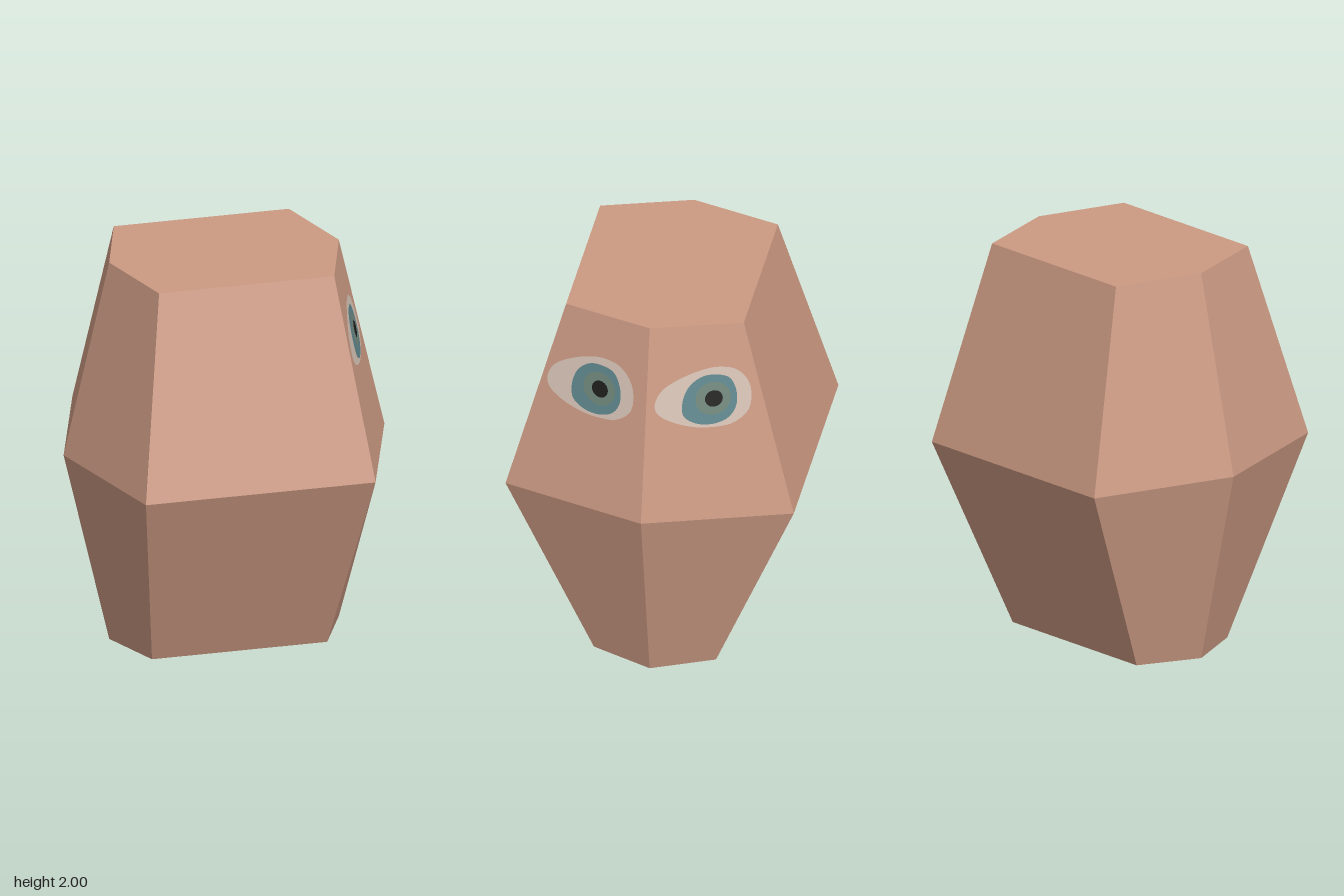
import * as THREE from 'three';

const mat = (name, color) => {
  const m = new THREE.MeshStandardMaterial({ color });
  m.name = name;
  return m;
};

// Hexagonal cross-section: side points on the x axis, corners at front and back
const hexRing = (y, side, cx, cz) => [
  [side, 0], [cx, cz], [-cx, cz], [-side, 0], [-cx, -cz], [cx, -cz],
].map(([x, z]) => new THREE.Vector3(x, y, z));

const TOP = { side: 0.582, cx: 0.444, cz: 0.444 };
const MID = { side: 0.813, cx: 0.582, cz: 0.72 };
const LOW = { side: 0.582, cx: 0.444, cz: 0.305 };

function headGeometry() {
  const rings = [[0, LOW], [1, MID], [2, TOP]].map(([y, r]) => hexRing(y, r.side, r.cx, r.cz));
  const pos = [], nor = [];
  const tri = (n, ...pts) => pts.forEach((p) => { pos.push(p.x, p.y, p.z); nor.push(n.x, n.y, n.z); });

  // Side panels, each with one flat normal
  for (let k = 0; k < 2; k++) {
    for (let i = 0; i < 6; i++) {
      const j = (i + 1) % 6;
      const a = rings[k][i], b = rings[k + 1][i], c = rings[k + 1][j], d = rings[k][j];
      const n = c.clone().sub(a).cross(d.clone().sub(b)).normalize();
      if (i % 3 === 0) { tri(n, a, b, c); tri(n, a, c, d); }
      else { tri(n, a, b, d); tri(n, b, c, d); }
    }
  }
  // Bottom and top caps
  const up = new THREE.Vector3(0, 1, 0), down = new THREE.Vector3(0, -1, 0);
  for (let i = 1; i < 5; i++) {
    tri(down, rings[0][0], rings[0][i], rings[0][i + 1]);
    tri(up, rings[2][0], rings[2][i + 1], rings[2][i]);
  }
  const g = new THREE.BufferGeometry();
  g.setAttribute('position', new THREE.Float32BufferAttribute(pos, 3));
  g.setAttribute('normal', new THREE.Float32BufferAttribute(nor, 3));
  return g;
}

// Eye outlines, measured from the pupil
const SCLERA = [
  [-0.28, -0.02], [-0.25, 0.05], [-0.17, 0.105], [-0.05, 0.15], [0.02, 0.158], [0.1, 0.14], [0.16, 0.075],
  [0.177, -0.01], [0.16, -0.08], [0.09, -0.135], [0, -0.149], [-0.1, -0.142], [-0.21, -0.105], [-0.265, -0.065],
];
const IRIS = [
  [-0.148, -0.01], [-0.12, 0.065], [-0.06, 0.113], [0.01, 0.12], [0.07, 0.1], [0.105, 0.03],
  [0.105, -0.05], [0.07, -0.105], [0, -0.132], [-0.08, -0.125], [-0.14, -0.085],
];
const circle = (cx, r) => Array.from({ length: 12 }, (_, i) => {
  const t = (i / 12) * Math.PI * 2;
  return [cx + r * Math.cos(t), r * Math.sin(t)];
});

// Thin face laid on the upper +x panels of the head
function eyeLayer(outline, z, y, lift) {
  const curve = new THREE.CatmullRomCurve3(outline.map(([u, v]) => new THREE.Vector3(u, v, 0)), true);
  const points = curve.getPoints(48).slice(0, -1).map((p) => new THREE.Vector2(p.x, p.y));
  const g = new THREE.ShapeGeometry(new THREE.Shape(points));
  const p = g.attributes.position;
  const slopeY = MID.side - TOP.side, slopeZ = (TOP.side - TOP.cx) / TOP.cz;
  for (let i = 0; i < p.count; i++) {
    const pz = z - p.getX(i), py = y + p.getY(i);
    p.setXYZ(i, TOP.side + slopeY * (2 - py) - slopeZ * Math.abs(pz) + lift, py, pz);
  }
  g.computeVertexNormals();
  return g;
}

export function createModel() {
  const model = new THREE.Group();
  model.name = 'head';

  const skull = new THREE.Mesh(headGeometry(), mat('skin', 0xcc9a83));
  skull.name = 'facetedHead';
  model.add(skull);

  const layers = [
    ['eyeWhite', SCLERA, mat('eye white', 0xd6c2b4)],
    ['iris', IRIS, mat('iris blue', 0x5e878d)],
    ['irisRing', circle(-0.004, 0.084), mat('iris green', 0x70877b)],
    ['pupil', circle(0, 0.042), mat('pupil black', 0x1e1e1c)],
  ];
  [['leftEye', -0.32], ['rightEye', 0.245]].forEach(([name, z]) => {
    const eye = new THREE.Group();
    eye.name = name;
    layers.forEach(([part, outline, material], k) => {
      const mesh = new THREE.Mesh(eyeLayer(outline, z, 1.625, 0.003 + 0.002 * k), material);
      mesh.name = part;
      eye.add(mesh);
    });
    model.add(eye);
  });
  return model;
}
